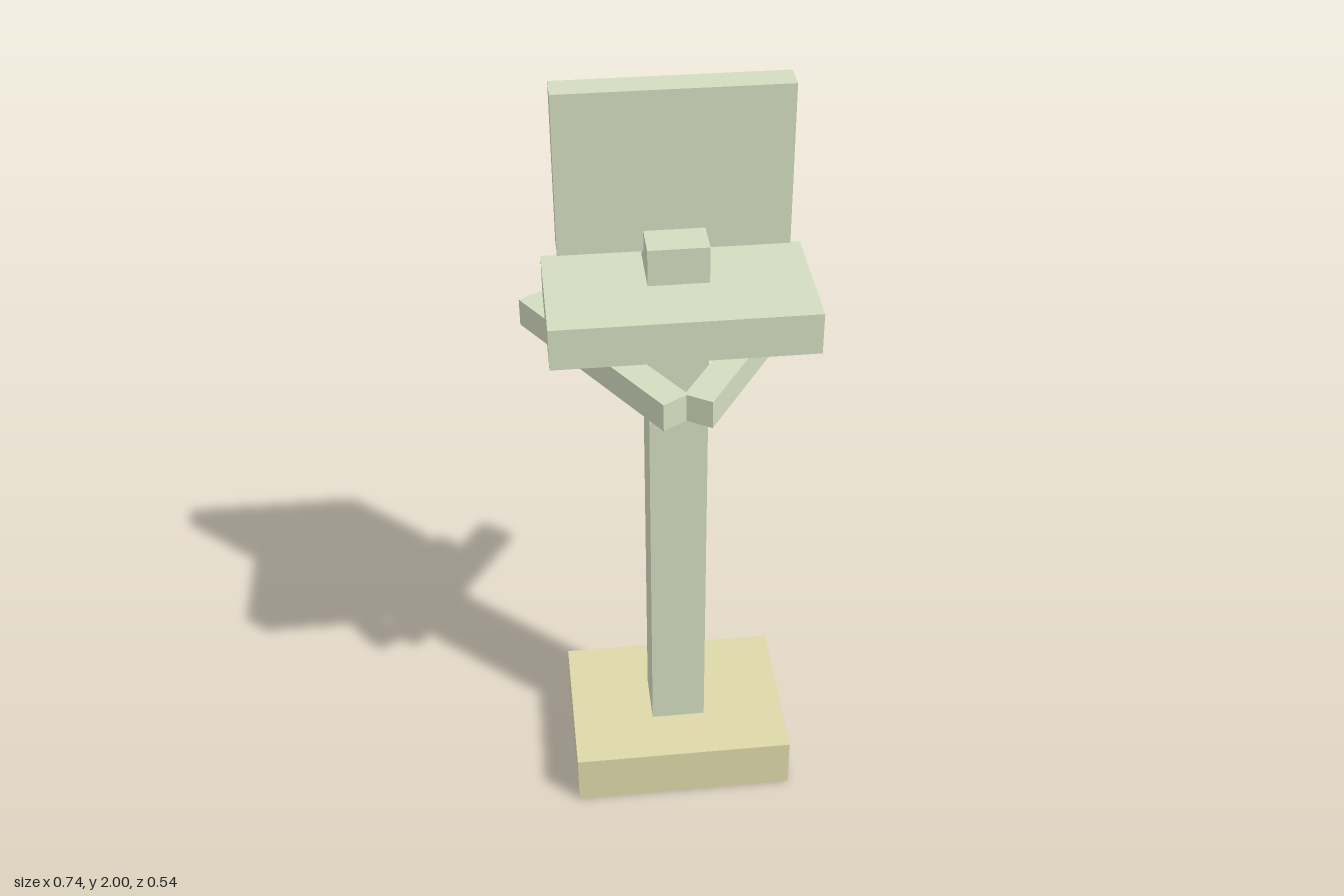
import * as THREE from 'three';

export function createModel() {
  const model = new THREE.Group();
  const green = new THREE.MeshStandardMaterial({ color: 0xd3dcbf, flatShading: true });
  const sand = new THREE.MeshStandardMaterial({ color: 0xddd8a8, flatShading: true });

  // Adds a box given its size and centre
  function box(name, size, centre, material = green) {
    const mesh = new THREE.Mesh(new THREE.BoxGeometry(...size), material);
    mesh.name = name;
    mesh.position.set(...centre);
    model.add(mesh);
    return mesh;
  }

  // Foot block and column
  box('base', [0.588, 0.147, 0.44], [0, 0.0735, 0], sand);
  box('post', [0.145, 1.506, 0.145], [0, 0.9, 0]);

  // Flat slab and upright panel standing just above its rear edge
  box('slab', [0.622, 0.105, 0.33], [0, 1.508, 0.072]);
  box('backPanel', [0.548, 0.4, 0.073], [0, 1.8, -0.057]);

  // Two arms, splayed outwards to the rear
  for (const side of [1, -1]) {
    const arm = box(side > 0 ? 'leftArm' : 'rightArm', [0.073, 0.073, 0.586], [side * 0.182, 1.323, -0.002]);
    arm.rotation.y = -side * 0.561;
  }
  return model;
}
